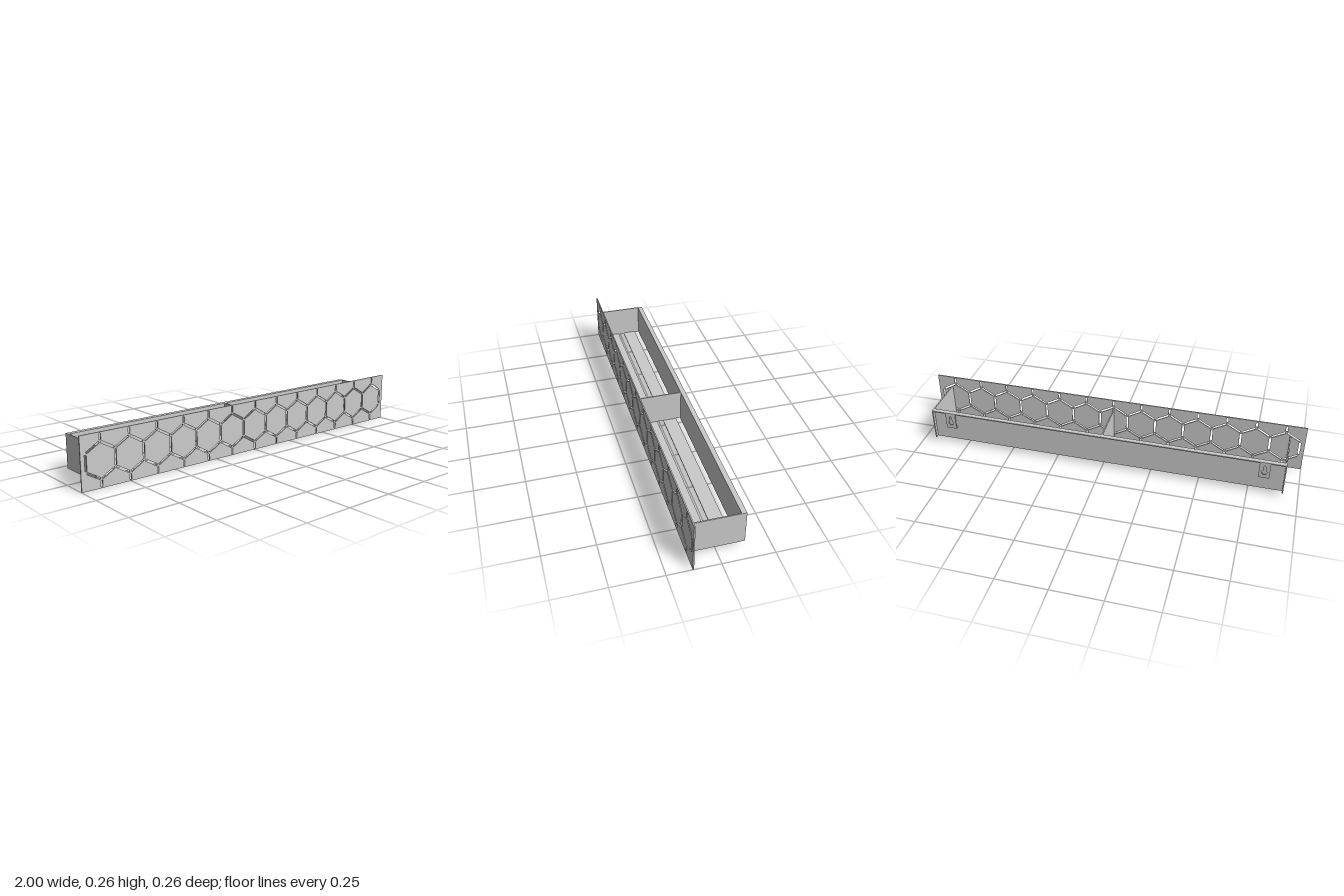
import * as THREE from 'three';

const T = 0.006;                        // sheet thickness
const W = 0.925;                        // half width of the tray
const Y0 = 0.03, Y1 = 0.2;              // tray bottom and top
const ZB = -0.131, ZW = -0.113, ZF = 0.126; // flange edge, back wall, rear of panel
const PITCH = 0.15, R = PITCH / Math.sqrt(3), CY = 0.1285;

export function createModel() {
  const group = new THREE.Group();
  const mat = new THREE.MeshStandardMaterial({ color: 0xcccccc });

  const add = (name, geometry) => {
    const mesh = new THREE.Mesh(geometry, mat);
    mesh.name = name;
    group.add(mesh);
    return mesh;
  };
  // box given by its lower and upper bounds
  const box = (name, x0, x1, y0, y1, z0, z1) =>
    add(name, new THREE.BoxGeometry(x1 - x0, y1 - y0, z1 - z0))
      .position.set((x0 + x1) / 2, (y0 + y1) / 2, (z0 + z1) / 2);

  // front panel, with narrow slots following a honeycomb
  const panel = new THREE.Shape([[-1, 0], [1, 0], [1, 0.257], [-1, 0.257]]
    .map(p => new THREE.Vector2(...p)));
  const slot = (ax, ay, bx, by) => {
    const a = new THREE.Vector2(ax, ay), b = new THREE.Vector2(bx, by);
    const d = b.clone().sub(a).normalize();
    const n = new THREE.Vector2(-d.y, d.x).multiplyScalar(0.005);
    a.addScaledVector(d, 0.006);        // small bridges at the corners
    b.addScaledVector(d, -0.006);
    panel.holes.push(new THREE.Path([
      a.clone().add(n), b.clone().add(n), b.clone().sub(n), a.clone().sub(n)]));
  };
  for (let i = -6; i <= 6; i++) {
    const x = i * PITCH, h = PITCH / 2;
    for (const s of [-1, 1]) {
      for (const side of [-1, 1]) slot(x + side * h, CY + s * R / 2, x, CY + s * R);
      slot(x, CY + s * R, x, CY + s * 0.129);
    }
    slot(x - h, CY - R / 2, x - h, CY + R / 2);
    if (i === 6) slot(x + h, CY - R / 2, x + h, CY + R / 2);
  }
  add('frontPanel', new THREE.ExtrudeGeometry(panel, { depth: T, bevelEnabled: false }))
    .position.z = ZF;

  // tray: ends, back wall, rear flange, middle divider and floor slats
  box('leftEnd', W - T, W, Y0, Y1, ZB, ZF);
  box('rightEnd', -W, -W + T, Y0, Y1, ZB, ZF);
  box('backWall', -W + T, W - T, Y0, Y1, ZW, ZW + T);
  box('rearFlange', -W + T, W - T, Y1 - T, Y1, ZB, ZW);
  box('divider', -T / 2, T / 2, Y0 + T, Y1, ZW + T, ZF);
  box('rearFloorSlat', -W + T, W - T, Y0, Y0 + T, -0.083, -0.013);
  box('frontFloorSlat', -W + T, W - T, Y0, Y0 + T, 0.02, 0.088);

  // keyhole hangers folded down from the flange
  const plate = new THREE.Shape([[-0.027, 0.112], [0.027, 0.112], [0.027, Y1 - T], [-0.027, Y1 - T]]
    .map(p => new THREE.Vector2(...p)));
  const key = new THREE.Path();
  key.absarc(0, 0.14, 0.013, Math.PI * 0.64, Math.PI * 2.36, false);
  key.lineTo(0.006, 0.174);
  key.absarc(0, 0.174, 0.006, 0, Math.PI, false);
  key.closePath();
  plate.holes.push(key);
  const plateGeo = new THREE.ExtrudeGeometry(plate, { depth: 0.004, bevelEnabled: false });
  for (const [side, x] of [['left', 0.822], ['right', -0.822]]) {
    add(side + 'HangerPlate', plateGeo).position.set(x, 0, ZB);
    box(side + 'HangerFoot', x - 0.027, x + 0.027, 0.108, 0.112, ZB, ZW);
  }
  return group;
}
